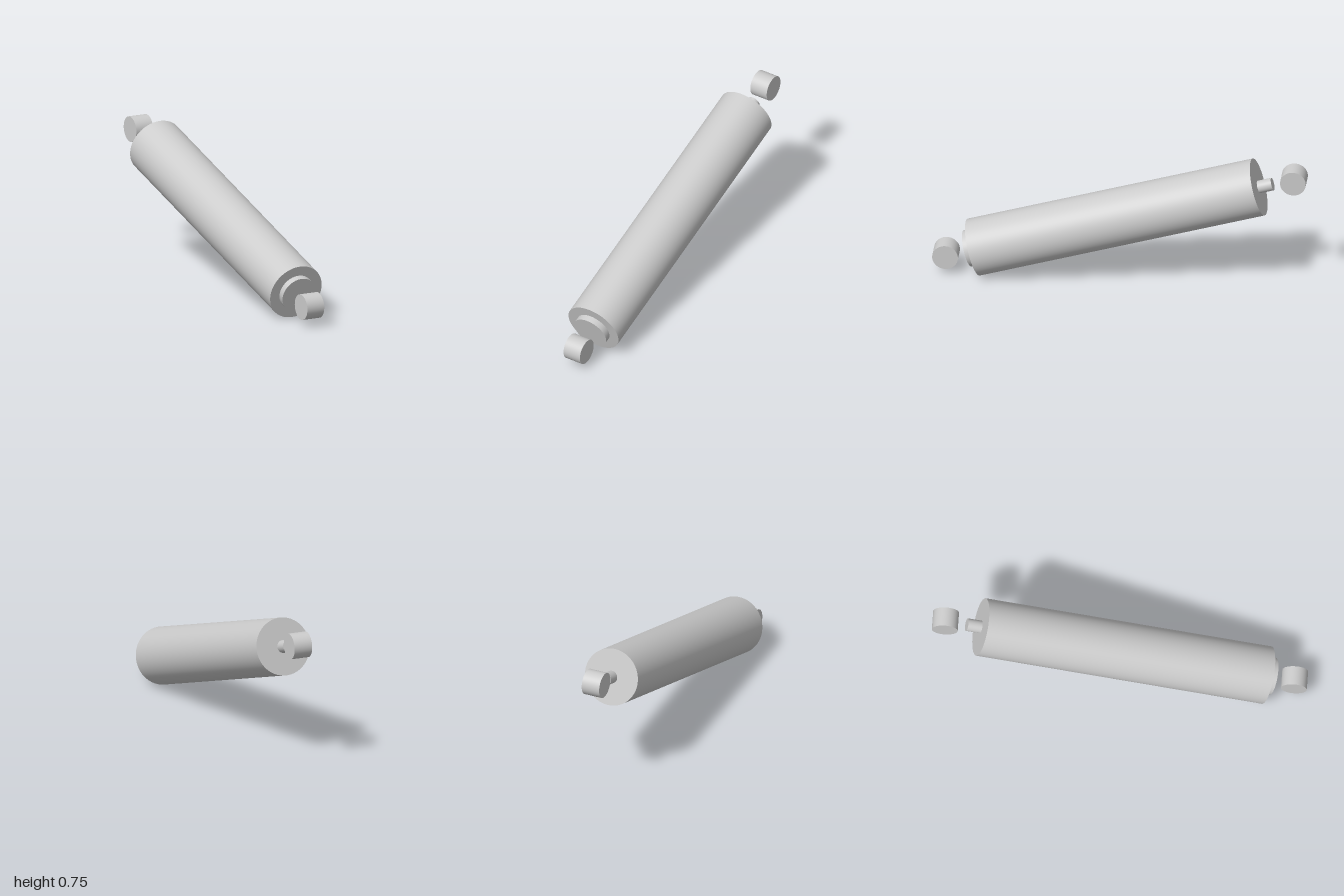
import * as THREE from 'three';

const material = new THREE.MeshStandardMaterial({ color: 0xcccccc });
const TILT = THREE.MathUtils.degToRad(16.68);

// Cylinder lying along z between two stations
function barrel(name, radius, z0, z1) {
  const geometry = new THREE.CylinderGeometry(radius, radius, z1 - z0, 64);
  geometry.rotateX(Math.PI / 2);
  const mesh = new THREE.Mesh(geometry, material);
  mesh.name = name;
  mesh.position.z = (z0 + z1) / 2;
  return mesh;
}

// Mounting eye: short cylinder lying across the damper
function eye(name, z) {
  const geometry = new THREE.CylinderGeometry(0.069, 0.069, 0.103, 48);
  geometry.rotateZ(Math.PI / 2);
  const mesh = new THREE.Mesh(geometry, material);
  mesh.name = name;
  mesh.position.z = z;
  return mesh;
}

export function createModel() {
  const model = new THREE.Group();
  model.name = 'shockAbsorber';

  // Everything sits on one axis that rises towards the back
  const axis = new THREE.Group();
  axis.name = 'tiltedAxis';
  axis.position.y = 0.385;
  axis.rotation.x = TILT;
  model.add(axis);

  axis.add(barrel('outerTube', 0.155, -0.775, 0.817));
  axis.add(barrel('frontCap', 0.099, 0.75, 0.852));
  axis.add(barrel('pistonRod', 0.034, -0.853, -0.7));
  axis.add(eye('frontEye', 0.972));
  axis.add(eye('backEye', -0.972));

  return model;
}
